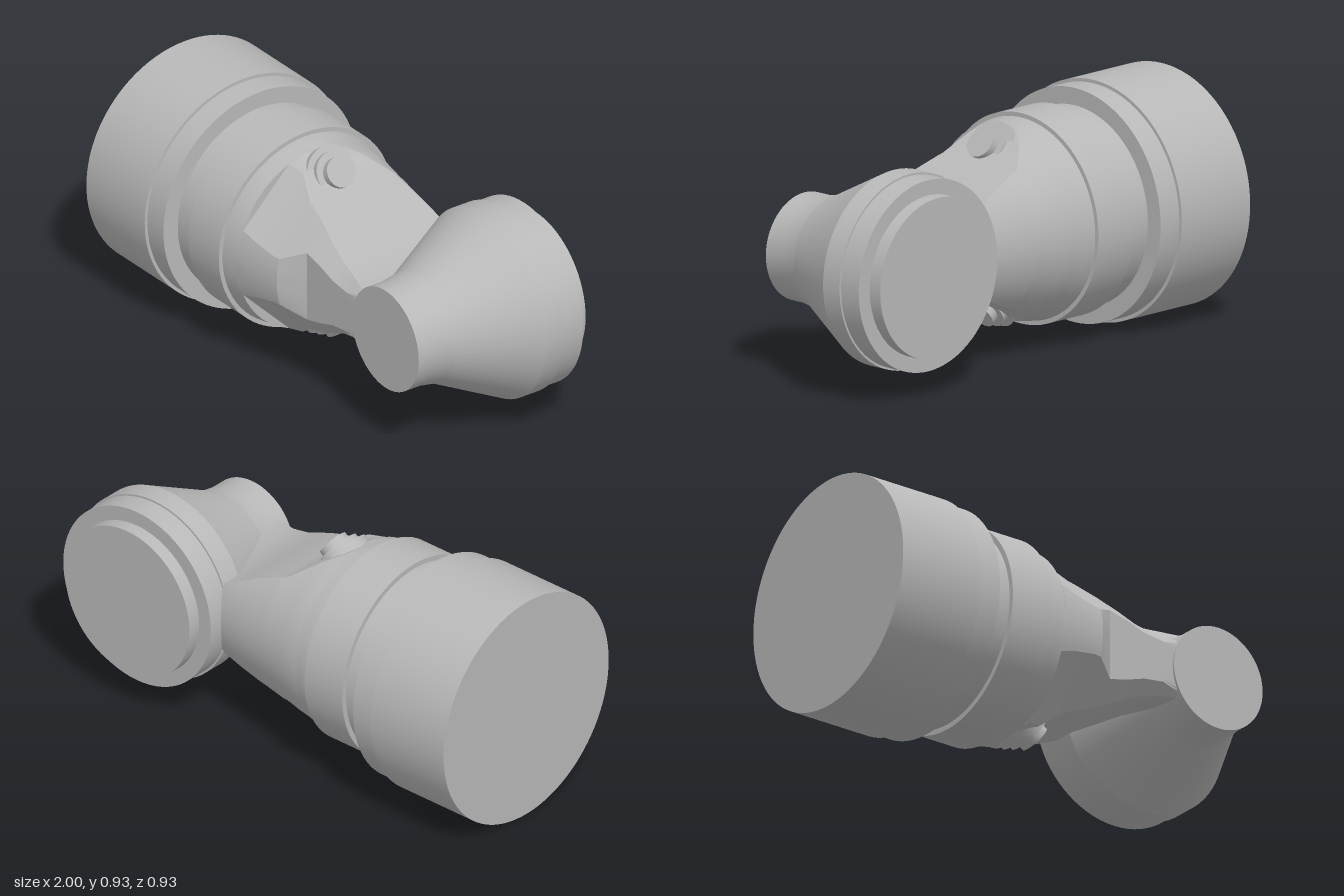
import * as THREE from 'three';
import { toCreasedNormals } from 'three/addons/utils/BufferGeometryUtils.js';

const CY = 0.466; // height of the main axis

// Turned solid: [radius, position along axis] points, axis along y
function turned(points, sides = 72) {
  const geo = new THREE.LatheGeometry(points.map(([r, y]) => new THREE.Vector2(r, y)), sides);
  return toCreasedNormals(geo, 0.3);
}

// Half outline of the forearm section: a circle R trimmed by a flat top h,
// a flat front f and a 45 degree bevel d (|y| + z = d)
function halfSection(R, h, f, d) {
  const arc = Math.asin(Math.min(1, d / (Math.SQRT2 * R))) - Math.PI / 4;
  const a1 = Math.max(arc, Math.atan2(d - f, f));
  const a2 = Math.max(a1, Math.min(Math.PI / 2 - arc, Math.atan2(h, d - h)));
  const a3 = Math.PI - Math.asin(Math.min(1, h / R));
  const stops = [0, a1, a2, a3, Math.PI], counts = [8, 8, 14, 24];
  const out = [];
  counts.forEach((n, k) => {
    for (let i = 0; i < n; i++) out.push(stops[k] + (stops[k + 1] - stops[k]) * i / n);
  });
  out.push(Math.PI);
  return out.map((a) => {
    const s = Math.sin(a), c = Math.cos(a);
    let r = Math.min(R, h / Math.max(s, 1e-6), d / Math.max(s + c, 1e-6));
    if (c > 0) r = Math.min(r, f / c);
    return [r * s, r * c];
  });
}

function forearmGeometry() {
  // x, R, h, f, d
  const sections = [
    [-0.30, 0.392, 0.40, 0.40, 0.60],
    [-0.25, 0.390, 0.39, 0.40, 0.60],
    [-0.20, 0.382, 0.382, 0.40, 0.60],
    [-0.171, 0.378, 0.374, 0.40, 0.60],
    [-0.17, 0.378, 0.374, 0.40, 0.49],
    [-0.10, 0.367, 0.340, 0.40, 0.465],
    [0.00, 0.351, 0.270, 0.36, 0.435],
    [0.03, 0.346, 0.260, 0.345, 0.43],
    [0.12, 0.332, 0.226, 0.27, 0.412],
    [0.20, 0.320, 0.188, 0.27, 0.392],
    [0.28, 0.308, 0.150, 0.27, 0.365],
    [0.37, 0.294, 0.125, 0.27, 0.353],
    [0.44, 0.283, 0.118, 0.27, 0.365],
    [0.60, 0.260, 0.110, 0.25, 0.34],
  ];
  const pos = [], index = [];
  let n = 0;
  for (const [x, R, h, f, d] of sections) {
    const half = halfSection(R, h, f, d);
    const lower = half.slice(1, -1).reverse().map(([y, z]) => [-y, z]);
    const ring = [...half, ...lower];
    n = ring.length;
    ring.forEach(([y, z]) => pos.push(x, y, z));
  }
  for (let i = 0; i < sections.length - 1; i++) {
    for (let j = 0; j < n; j++) {
      const a = i * n + j, b = i * n + (j + 1) % n;
      index.push(a, a + n, b, b, a + n, b + n);
    }
  }
  const geo = new THREE.BufferGeometry();
  geo.setAttribute('position', new THREE.Float32BufferAttribute(pos, 3));
  geo.setIndex(index);
  return toCreasedNormals(geo, 0.3);
}

export function createModel() {
  const model = new THREE.Group();
  model.name = 'robotArmSegment';
  const grey = new THREE.MeshStandardMaterial({ color: 0xb8b8b8 });
  grey.name = 'grey metal';

  const add = (name, geo, parent = model) => {
    const mesh = new THREE.Mesh(geo, grey);
    mesh.name = name;
    parent.add(mesh);
    return mesh;
  };

  // Stepped round housing along x
  const housing = add('housing', turned([
    [0, -1], [0.466, -1], [0.466, -0.635], [0.453, -0.635], [0.453, -0.535],
    [0.386, -0.535], [0.386, -0.44], [0.407, -0.44], [0.407, -0.25], [0.37, -0.25], [0, -0.25],
  ], 96));
  housing.rotation.z = -Math.PI / 2;
  housing.position.y = CY;

  // Tapered forearm with flattened top, bottom and front
  add('forearm', forearmGeometry()).position.y = CY;

  // Flared wrist joint along z
  const wrist = add('wristJoint', turned([
    [0, -0.425], [0.311, -0.425], [0.311, -0.37], [0.37, -0.37], [0.37, -0.277],
    [0.378, -0.277], [0.378, -0.19], [0.222, 0.118], [0.208, 0.2], [0.208, 0.279], [0, 0.279],
  ]));
  wrist.rotation.x = Math.PI / 2;
  wrist.position.set(0.622, CY, 0);

  // Stepped bolts on the top and bottom flats
  for (const side of [1, -1]) {
    const bolt = add(side > 0 ? 'topBolt' : 'bottomBolt', turned([
      [0, -0.14], [0.113, -0.14], [0.113, -0.055], [0.088, -0.055], [0.088, -0.03],
      [0.06, -0.03], [0.06, 0], [0, 0],
    ], 32));
    const axis = new THREE.Vector3(0.82, 0.57 * side, 0).normalize();
    bolt.quaternion.setFromUnitVectors(new THREE.Vector3(0, 1, 0), axis);
    bolt.position.set(-0.03, CY + 0.334 * side, 0);
  }
  return model;
}
